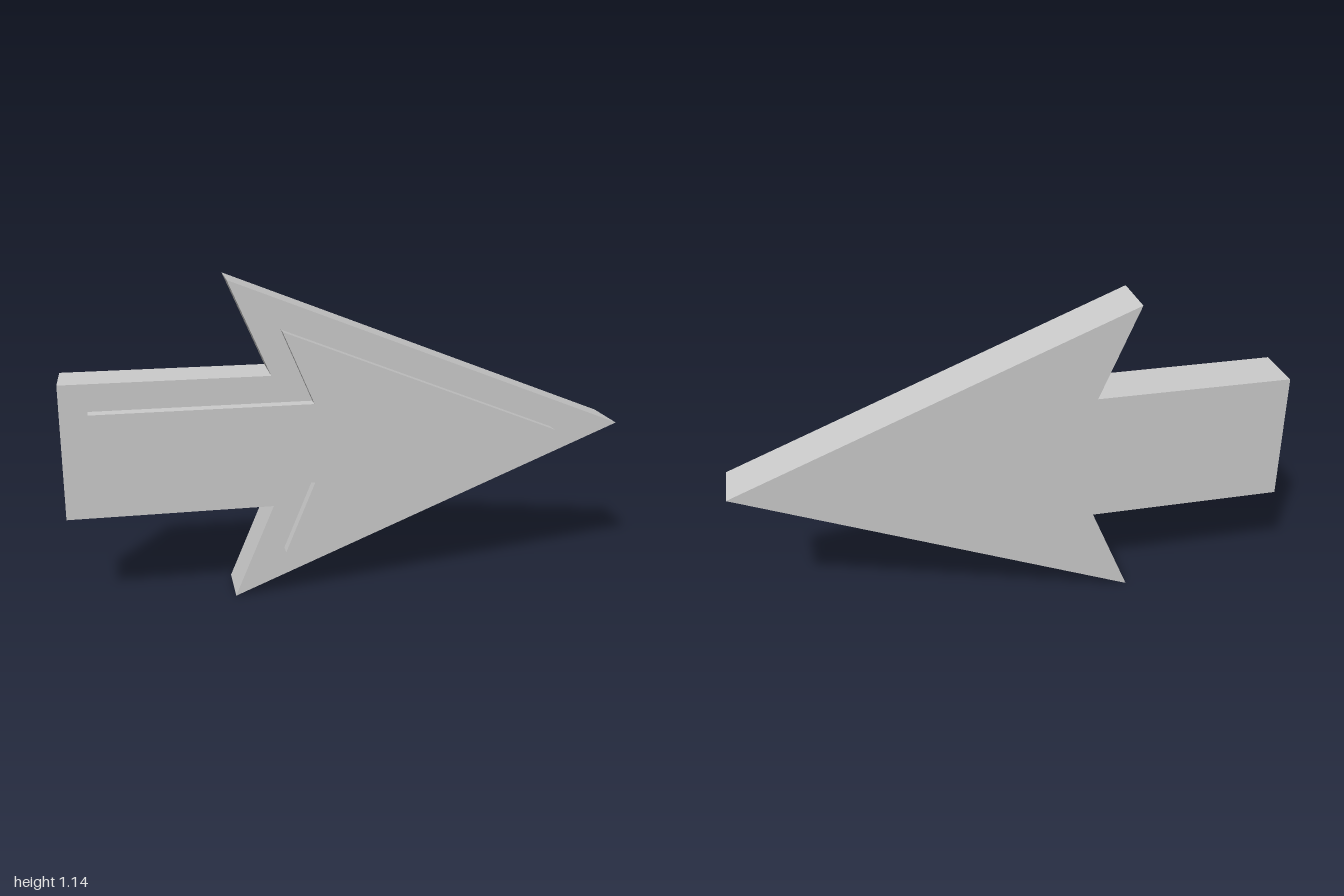
import * as THREE from 'three';

const CENTER_Y = 0.573;

// Extruded arrow pointing along +x, mirrored about its own axis
function arrow(name, { tail, notch, barb, tip, shaftHalf, headHalf }, zBack, zFront) {
  const upper = [[barb, headHalf], [notch, shaftHalf], [tail, shaftHalf]];
  const lower = upper.map(([x, y]) => [x, -y]).reverse();
  const outline = [[tip, 0], ...upper, ...lower].map(([x, y]) => new THREE.Vector2(x, y));
  const geometry = new THREE.ExtrudeGeometry(new THREE.Shape(outline), {
    depth: zFront - zBack,
    bevelEnabled: false,
  });
  geometry.translate(0, CENTER_Y, zBack);
  const mesh = new THREE.Mesh(
    geometry,
    new THREE.MeshStandardMaterial({ color: 0xcccccc, flatShading: true })
  );
  mesh.name = name;
  return mesh;
}

export function createModel() {
  const group = new THREE.Group();
  group.name = 'arrowSign';

  // Thick backing arrow
  group.add(arrow('arrowBody', {
    tail: -1, notch: -0.285, barb: -0.428, tip: 0.998, shaftHalf: 0.237, headHalf: 0.57,
  }, -0.12, 0.072));

  // Thin raised arrow on the front face
  group.add(arrow('raisedPanel', {
    tail: -0.905, notch: -0.143, barb: -0.25, tip: 0.74, shaftHalf: 0.142, headHalf: 0.397,
  }, 0.072, 0.12));

  return group;
}
